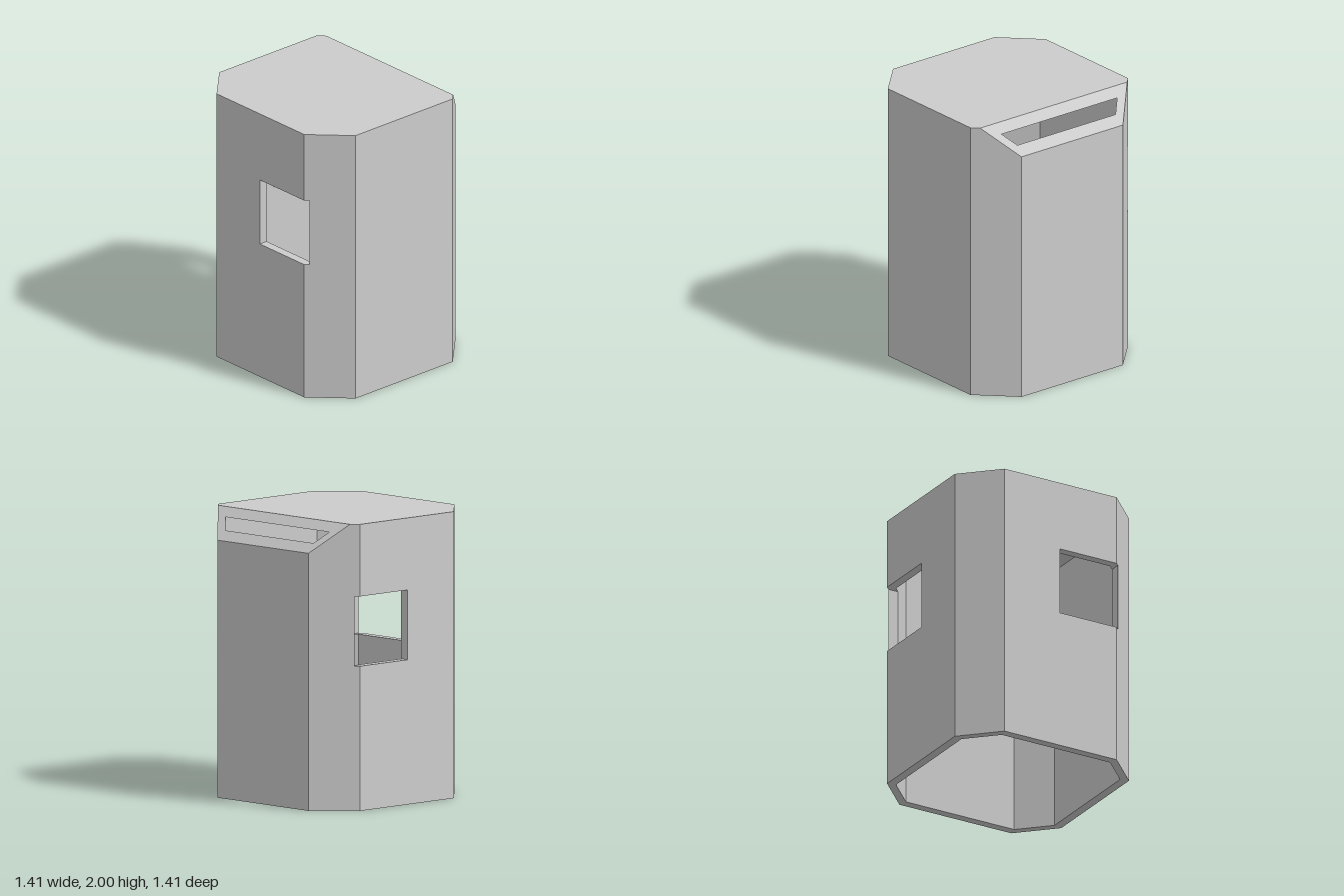
import * as THREE from 'three';

const slopeTop = (z) => 2.5 + z; // plane of the bevel along the top rear edge

// Solid over a plan outline of [x, z] points, its top trimmed by the bevel.
function slab(name, outline, y0, y1, material, holes = []) {
  const toV = (pts) => pts.map(([x, z]) => new THREE.Vector2(x, -z));
  const shape = new THREE.Shape(toV(outline));
  // holes wind opposite to the outline so their walls face inwards
  holes.forEach((h) => shape.holes.push(new THREE.Path(toV(h).reverse())));
  const geo = new THREE.ExtrudeGeometry(shape, { depth: 1, bevelEnabled: false });
  geo.rotateX(-Math.PI / 2);
  const p = geo.attributes.position;
  for (let i = 0; i < p.count; i++) {
    p.setY(i, p.getY(i) > 0.5 ? Math.min(y1, slopeTop(p.getZ(i))) : y0);
  }
  geo.computeVertexNormals();
  const mesh = new THREE.Mesh(geo, material);
  mesh.name = name;
  return mesh;
}

// Square plan with chamfered corners: half width a, half flat length b.
const octagon = (a, b) => [
  [a, -b], [a, b], [b, a], [-b, a], [-a, b], [-a, -b], [-b, -a], [b, -a],
];
// Closed outline of an open wall run.
const run = (outer, inner) => [...outer, ...inner.slice().reverse()];

export function createModel() {
  const group = new THREE.Group();
  group.name = 'hollowTower';
  const grey = new THREE.MeshStandardMaterial({ color: 0xcccccc });
  grey.name = 'plain grey';

  const A = 0.703, B = 0.452, a = 0.64, b = 0.437; // outer and inner plan
  const sill = 1.01, lintel = 1.497, ceiling = 1.938;
  const zs = ceiling - 2.5;                      // where the bevel meets the ceiling
  const xo = A + B + zs, xi = a + b + zs;        // chamfer positions at that line
  const zr = -0.5, xr = A + B + zr;              // where the bevel meets the roof
  const outer = octagon(A, B), inner = octagon(a, b);

  // Wall below the windows, open at the bottom
  group.add(slab('lowerWall', outer, 0, sill, grey, [inner]));

  // Wall between the windows: long run around +x and the rear, short run at the front corner
  const w = 0.477, m = 0.006;
  group.add(slab('rearWindowBandWall', run(
    [[w, A + B - w], [A, B], [A, -B], [B, -A], [-B, -A], [w - A - B, -w]],
    [[w, a + b - w], [a, b], [a, -b], [b, -a], [-b, -a], [w - a - b, -w]],
  ), sill, lintel, grey));
  group.add(slab('cornerWindowBandWall', run(
    [[-A, m], [-A, B], [-B, A], [-m, A]],
    [[-a, m], [-a, b], [-b, a], [-m, a]],
  ), sill, lintel, grey));

  // Wall above the windows; the rear part is cut by the bevel, leaving the slot open
  group.add(slab('upperFrontWall', run(
    [[xo, zs], ...outer.slice(0, 6), [-xo, zs]],
    [[xi, zs], ...inner.slice(0, 6), [-xi, zs]],
  ), lintel, ceiling, grey));
  group.add(slab('upperRearWall', run(
    [[-xo, zs], [-B, -A], [B, -A], [xo, zs]],
    [[-xi, zs], [-b, -a], [b, -a], [xi, zs]],
  ), lintel, ceiling, grey));

  // Roof plate and the wedge that carries the bevel up to it
  group.add(slab('roof',
    [[xr, zr], ...outer.slice(0, 6), [-xr, zr]], ceiling, 2, grey));
  group.add(slab('roofBevel',
    [[xo, zs], [xr, zr], [-xr, zr], [-xo, zs]], ceiling, 2, grey));

  return group;
}
